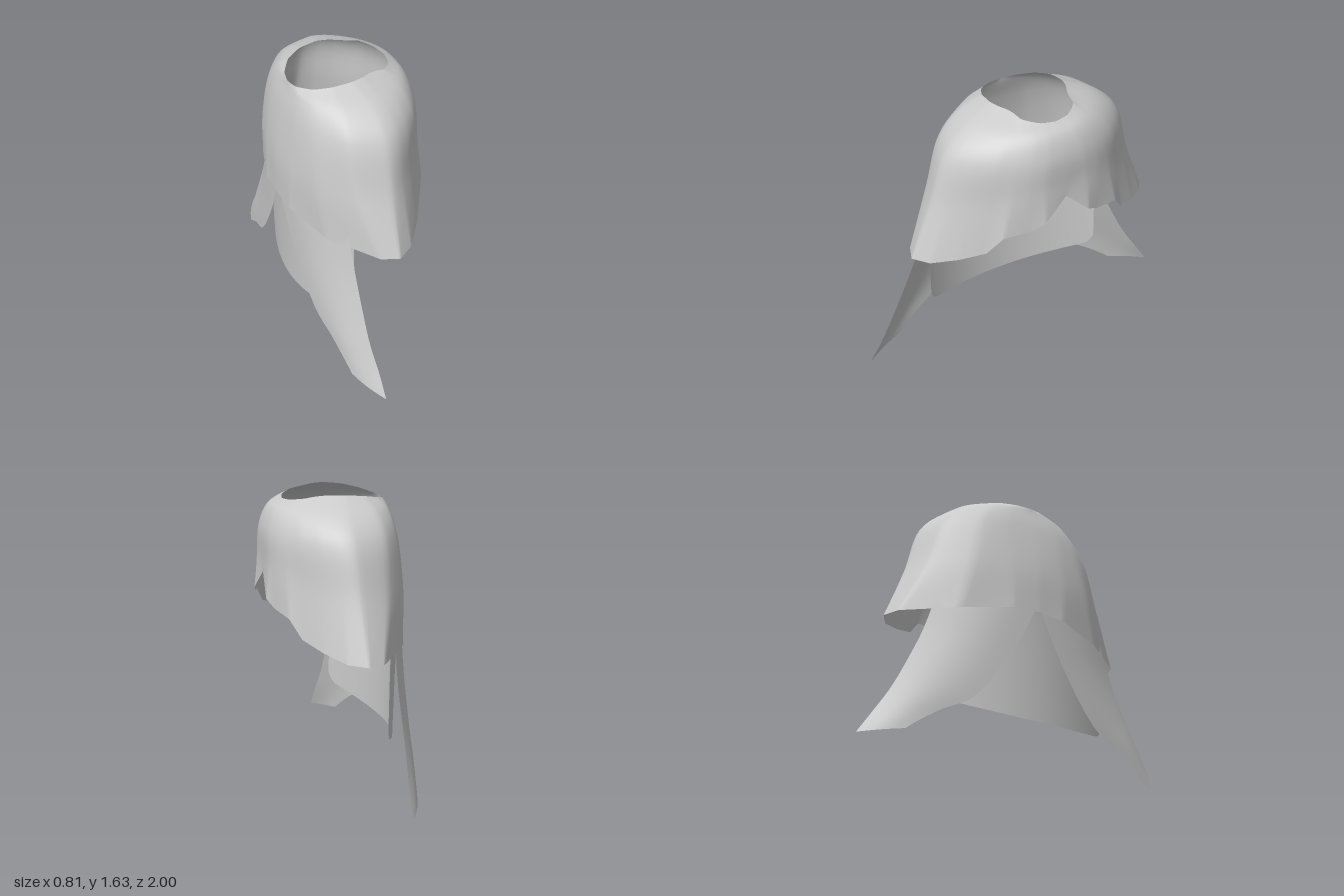
import * as THREE from 'three';

const material = new THREE.MeshStandardMaterial({ color: 0xcccccc, side: THREE.DoubleSide });
const V = (p) => new THREE.Vector3(...p);

// Smooth surface from a point rule at(i, j); closed wraps the i direction
function surface(name, nu, nv, at, closed = false) {
  const cols = closed ? nu : nu + 1;
  const pos = [], index = [];
  for (let j = 0; j <= nv; j++) for (let i = 0; i < cols; i++) pos.push(...at(i, j).toArray());
  for (let j = 0; j < nv; j++) for (let i = 0; i < nu; i++) {
    const k = (i + 1) % cols;
    const a = j * cols + i, b = j * cols + k, c = a + cols, d = b + cols;
    index.push(a, c, b, b, c, d);
  }
  const g = new THREE.BufferGeometry();
  g.setAttribute('position', new THREE.Float32BufferAttribute(pos, 3));
  g.setIndex(index);
  g.computeVertexNormals();
  const mesh = new THREE.Mesh(g, material);
  mesh.name = name;
  return mesh;
}

// Closed ring from half an outline [x, z], mirrored in z, with its height given by a rule;
// tension 0 keeps straight segments between the points
function ring(half, tension, height) {
  const back = half.slice(1, -1).reverse().map(([x, z]) => [x, -z]);
  const points = [...half, ...back].map(([x, z]) => new THREE.Vector3(x, height(x), z));
  return new THREE.CatmullRomCurve3(points, true, 'catmullrom', tension);
}

// Hood lofted through five rings; outlines run from the -x side round the front to +x
function hood() {
  const rim = [[-.315, 0], [-.3, .08], [-.24, .17], [-.15, .22], [-.04, .232], [.03, .215],
    [.08, .19], [.13, .175], [.18, .167], [.215, .135], [.25, .085], [.268, 0]];
  const crown = [[-.355, 0], [-.345, .17], [-.3, .32], [-.18, .48], [0, .545], [.09, .525],
    [.18, .46], [.265, .37], [.32, .28], [.355, .2], [.378, .11], [.384, 0]];
  const shoulder = crown.map(([x, z]) => [.89 * x - .005, .775 * z]);
  const sides = [[-.402, 0], [-.385, .18], [-.32, .39], [-.17, .58], [0, .645], [.09, .605],
    [.18, .52], [.265, .41], [.325, .32], [.365, .22], [.385, .13], [.386, 0]];
  const edge = [[-.405, 0], [-.397, .17], [-.3, .46], [-.1, .735], [0, .775], [.1, .71],
    [.2, .58], [.28, .45], [.332, .37], [.375, .22], [.403, .14], [.385, 0]];
  // heights along the lower edge, notched on the +x side
  const edgeHeights = [.86, .85, .81, .8, .8, .807, .845, .89, .99, 1.015, 1.055, 1.18];
  const rings = [
    ring(rim, .2, (x) => 1.635 - .55 * x * x),
    ring(shoulder, .35, () => 1.55),
    ring(crown, .35, () => 1.43),
    ring(sides, .3, (x) => 1.13 + .8 * Math.max(x, 0) ** 2),
    ring(edge, 0, (x) => edgeHeights[edge.findIndex((p) => p[0] === x)]),
  ];
  const n = 110;
  const columns = Array.from({ length: n }, (_, i) =>
    new THREE.CatmullRomCurve3(rings.map((r) => r.getPoint(i / n))));
  return surface('hood', n, 24, (i, j) => columns[i].getPoint(j / 24), true);
}

// Curved inner plate tucked up inside the hood, with a bowed lower edge and rounded corners
function neckPlate() {
  return surface('neckPlate', 48, 16, (i, j) => {
    const u = i / 24 - 1, v = j / 16;
    const bottom = .22 + .075 * u * u + .05 * Math.abs(u) ** 30;
    const x = THREE.MathUtils.lerp(-.395 + .2 * u * u, -.345 + .165 * u * u, Math.sqrt(v));
    return V([x, THREE.MathUtils.lerp(1, bottom, v), .577 * u]);
  });
}

// Flared tail spanned between an inner and an outer edge, bulging at the top
function tail(name, side) {
  const inner = new THREE.CatmullRomCurve3([[-.392, .87, .02], [-.376, .58, .17], [-.35, .27, .4],
    [-.32, .17, .58], [-.295, .075, .72], [-.285, .035, .77]].map(V));
  const outer = new THREE.CatmullRomCurve3([[-.215, .87, .57], [-.208, .66, .64], [-.205, .5, .71],
    [-.2, .28, .82], [-.185, .12, .92], [-.182, 0, 1]].map(V));
  return surface(name, 12, 30, (i, j) => {
    const u = i / 12, v = j / 30;
    const p = inner.getPoint(v).lerp(outer.getPoint(v), u);
    p.x -= (.045 - .035 * v) * Math.sin(Math.PI * u);
    p.z *= side;
    return p;
  });
}

export function createModel() {
  const model = new THREE.Group();
  model.name = 'hoodWithTails';
  model.add(hood(), neckPlate(), tail('frontTail', 1), tail('backTail', -1));
  return model;
}
